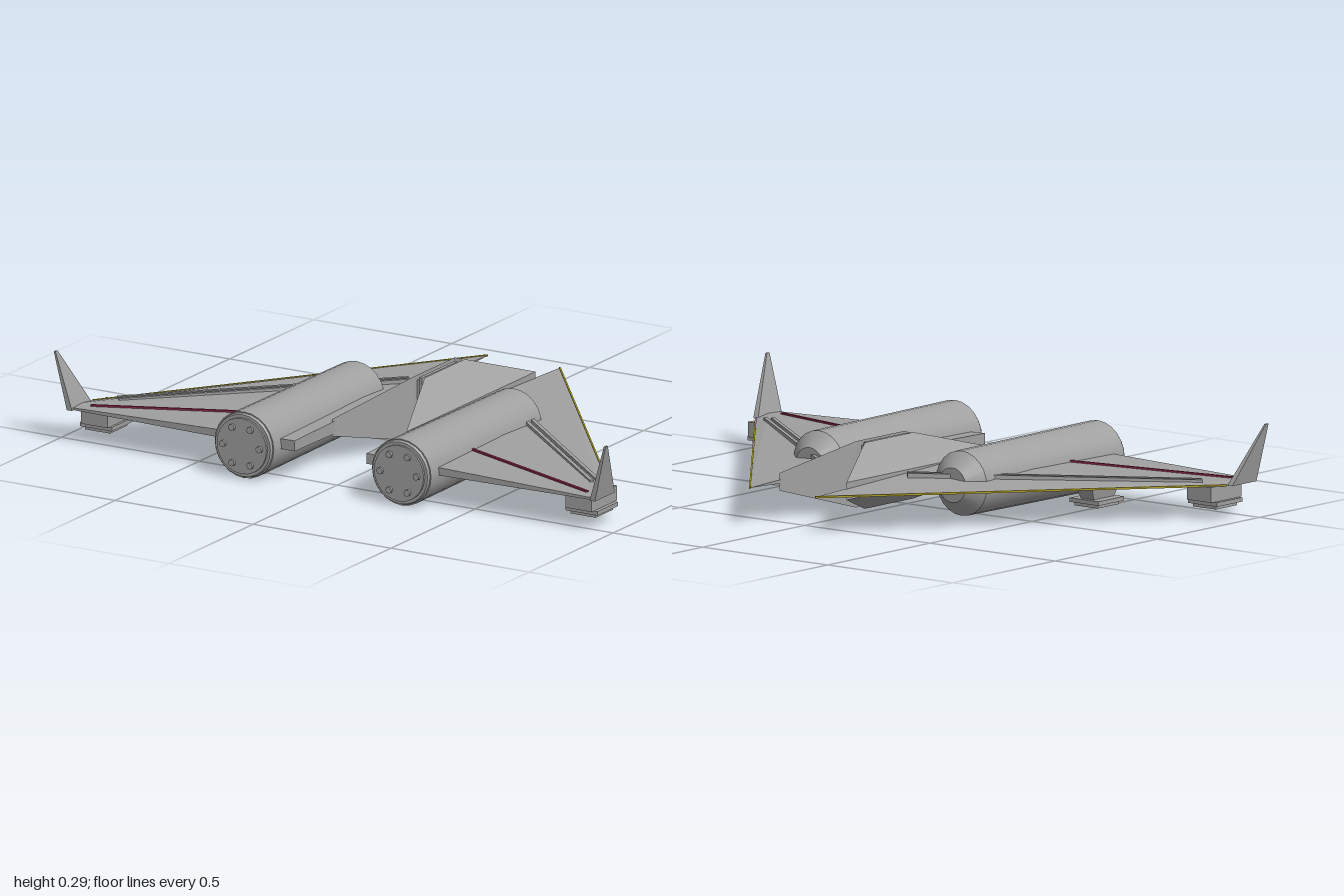
import * as THREE from 'three';

const mat = (name, color) => {
  const m = new THREE.MeshStandardMaterial({ color });
  m.name = name;
  return m;
};

// Flat-faced solid through rings of [x, y, z] points, closed at both ends
function loft(rings) {
  const tris = [];
  const n = rings[0].length;
  for (let r = 0; r < rings.length - 1; r++) {
    const a = rings[r], b = rings[r + 1];
    for (let i = 0; i < n; i++) {
      const j = (i + 1) % n;
      tris.push([a[i], a[j], b[j]], [a[i], b[j], b[i]]);
    }
  }
  const last = rings[rings.length - 1];
  for (let i = 1; i < n - 1; i++) {
    tris.push([rings[0][0], rings[0][i + 1], rings[0][i]], [last[0], last[i], last[i + 1]]);
  }
  // Turn the faces outwards if the enclosed volume is negative
  let volume = 0;
  const [a, b, c] = [new THREE.Vector3(), new THREE.Vector3(), new THREE.Vector3()];
  for (const t of tris) volume += a.fromArray(t[0]).dot(b.fromArray(t[1]).cross(c.fromArray(t[2])));
  if (volume < 0) tris.forEach((t) => t.reverse());
  const g = new THREE.BufferGeometry();
  g.setAttribute('position', new THREE.Float32BufferAttribute(tris.flat(2), 3));
  g.computeVertexNormals();
  return g;
}

// Horizontal rectangle ring
const rectY = (x0, x1, y, z0, z1) => [[x0, y, z0], [x1, y, z0], [x1, y, z1], [x0, y, z1]];
// Upright rectangle ring facing x
const rectX = (x, y0, y1, z0, z1) => [[x, y0, z0], [x, y1, z0], [x, y1, z1], [x, y0, z1]];

// Straight bar from a to b
function bar(a, b, width, height) {
  const len = Math.hypot(b[0] - a[0], b[2] - a[2]);
  const ox = (-(b[2] - a[2]) / len) * width / 2;
  const oz = ((b[0] - a[0]) / len) * width / 2;
  const h = height / 2;
  return loft([a, b].map(([x, y, z]) => [
    [x - ox, y - h, z - oz], [x + ox, y - h, z + oz],
    [x + ox, y + h, z + oz], [x - ox, y + h, z - oz],
  ]));
}

// Cylinder lying along z, from z0 to z1
function tubeZ(x, y, z0, z1, r0, r1, sides = 24) {
  return new THREE.CylinderGeometry(r1, r0, z1 - z0, sides)
    .rotateX(Math.PI / 2).translate(x, y, (z0 + z1) / 2);
}

// Mirrored copy across x = 0 with the corner order restored
function mirror(geometry) {
  const g = geometry.index ? geometry.toNonIndexed() : geometry.clone();
  for (const key of ['position', 'normal']) {
    const at = g.attributes[key];
    for (let i = 0; i < at.count; i += 3) {
      const p = [0, 2, 1].map((k) => [-at.getX(i + k), at.getY(i + k), at.getZ(i + k)]);
      p.forEach((v, k) => at.setXYZ(i + k, ...v));
    }
  }
  return g;
}

export function createModel() {
  const model = new THREE.Group();
  model.name = 'aircraft';
  const hull = mat('hull grey', 0xa0a0a0);
  const yellow = mat('edge yellow', 0xb0a020);
  const red = mat('stripe red', 0x902848);

  const add = (name, geometry, material = hull) => {
    const m = new THREE.Mesh(geometry, material);
    m.name = name;
    model.add(m);
  };
  const pair = (name, geometry, material) => {
    add(name + 'Left', geometry, material);
    add(name + 'Right', mirror(geometry), material);
  };

  // Delta wings
  pair('wing', loft([
    [[0.13, 0.119, -0.61], [0.13, 0.141, 0], [0.13, 0.134, 0.54], [0.13, 0.1, 0.54], [0.13, 0.093, 0]],
    [[0.94, 0.107, 0.41], [0.94, 0.115, 0.47], [0.94, 0.113, 0.53], [0.94, 0.106, 0.53], [0.94, 0.102, 0.47]],
  ]));
  pair('leadingEdge', bar([0.131, 0.119, -0.608], [0.94, 0.107, 0.412], 0.005, 0.006), yellow);
  pair('wingStripe', bar([0.38, 0.132, 0.327], [0.9, 0.116, 0.49], 0.009, 0.008), red);

  // Double spar on top of each wing
  for (const [i, s] of [-0.008, 0.008].entries()) {
    pair('spar' + i, bar([0.165 + s, 0.137, -0.2 - s], [0.865 + s, 0.114, 0.385 - s], 0.012, 0.017));
  }

  // Outward-leaning winglets
  pair('winglet', loft([
    rectY(0.938, 0.957, 0.105, 0.42, 0.538),
    rectY(0.994, 1.0, 0.29, 0.532, 0.545),
  ]));

  // Engines with chamfered noses, end plates and bolts
  const ex = 0.285, ey = 0.108;
  pair('engineBody', tubeZ(ex, ey, -0.082, 0.585, 0.102, 0.107));
  pair('engineNose', tubeZ(ex, ey, -0.128, -0.082, 0.055, 0.102));
  pair('engineRim', tubeZ(ex, ey, 0.583, 0.594, 0.104, 0.1));
  pair('enginePlate', tubeZ(ex, ey, 0.592, 0.601, 0.09, 0.09));
  for (let i = 0; i < 6; i++) {
    const a = (i * Math.PI) / 3;
    pair('engineBolt' + i, tubeZ(ex + 0.066 * Math.cos(a), ey + 0.066 * Math.sin(a), 0.6, 0.609, 0.011, 0.011, 8));
  }

  // Flared centre body and the narrow joint between its halves
  pair('centreBody', loft([
    rectX(0.018, 0.018, 0.226, -0.228, 0.01),
    rectX(0.134, 0.09, 0.145, -0.46, 0.31),
  ]));
  add('centreJoint', loft([rectX(-0.019, 0.035, 0.21, -0.2, -0.005), rectX(0.019, 0.035, 0.21, -0.2, -0.005)]));
  add('centreRib', loft([rectX(-0.006, 0.022, 0.222, -0.205, 0.005), rectX(0.006, 0.022, 0.222, -0.205, 0.005)]));

  // Pods below the wings: pylon, plate and foot
  pair('outerPylon', loft([rectY(0.83, 0.925, 0.106, 0.355, 0.505), rectY(0.83, 0.925, 0.058, 0.355, 0.505)]));
  pair('innerPylon', loft([rectY(0.55, 0.62, 0.102, 0.145, 0.285), rectY(0.56, 0.61, 0.056, 0.168, 0.265)]));
  for (const [name, x, z, w, d] of [['outer', 0.88, 0.43, 0.058, 0.062], ['inner', 0.585, 0.213, 0.058, 0.062]]) {
    pair(name + 'PodPlate', loft([0.058, 0.045].map((y) => rectY(x - w, x + w, y, z - d, z + d))));
    pair(name + 'PodFoot', loft([0.046, 0.034].map((y) => rectY(x - w + 0.012, x + w - 0.012, y, z - d + 0.01, z + d - 0.01))));
  }
  return model;
}
